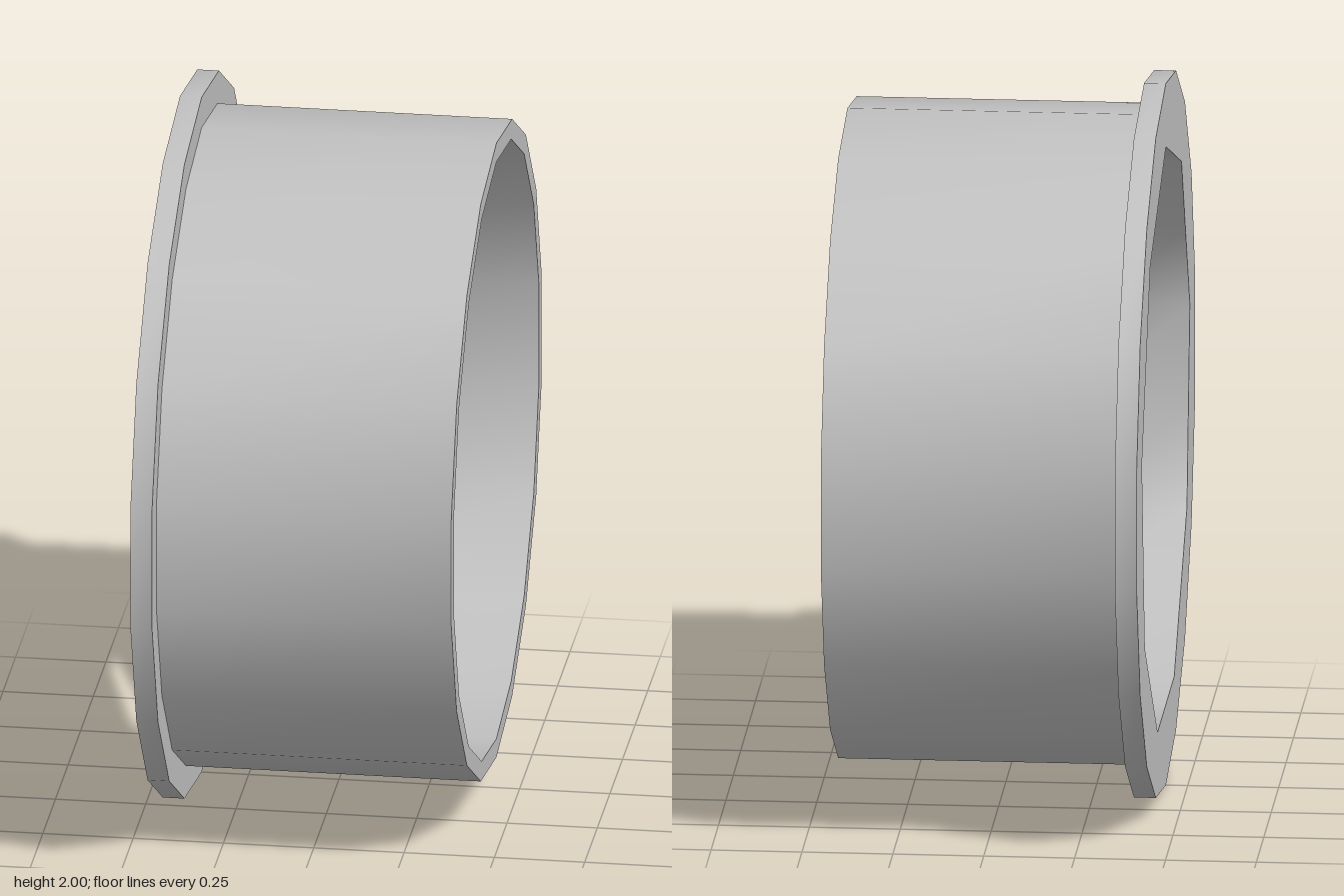
import * as THREE from 'three';

const SIDES = 18;

// One 18-point cross-section; a nine-sided one puts its odd points on the chord midpoints.
const section = (x, r, nine = false) => {
  const points = [];
  for (let i = 0; i < SIDES; i++) {
    const a = (i / SIDES) * Math.PI * 2;
    const k = nine && i % 2 ? r * Math.cos(Math.PI / 9) : r;
    points.push(x, 1 + k * Math.cos(a), k * Math.sin(a));
  }
  return points;
};

// Closed band between two cross-sections, smooth around the axis.
function band(from, to) {
  const g = new THREE.BufferGeometry();
  g.setAttribute('position', new THREE.Float32BufferAttribute([...from, ...to], 3));
  const index = [];
  for (let i = 0; i < SIDES; i++) {
    const j = (i + 1) % SIDES;
    index.push(i, j, SIDES + i, j, SIDES + j, SIDES + i);
  }
  g.setIndex(index);
  g.computeVertexNormals();
  return g;
}

export function createModel() {
  const group = new THREE.Group();
  const grey = new THREE.MeshStandardMaterial({ color: 0xc0c0c0 });
  grey.name = 'light grey';

  // Walk once around the wall's profile: flange, sleeve, bore, then the nine-sided hole.
  const profile = [
    ['flangeBack', section(-0.44, 0.82, true)],
    ['flangeEdge', section(-0.44, 1)],
    ['flangeFront', section(-0.38, 1)],
    ['sleeve', section(-0.38, 0.91)],
    ['sleeveRim', section(0.436, 0.91)],
    ['bore', section(0.436, 0.855)],
    ['boreStep', section(-0.075, 0.855)],
    ['nineSidedHole', section(-0.145, 0.82, true)],
  ];
  profile.forEach(([name, ring], i) => {
    const next = profile[(i + 1) % profile.length][1];
    const mesh = new THREE.Mesh(band(ring, next), grey);
    mesh.name = name;
    group.add(mesh);
  });

  return group;
}
